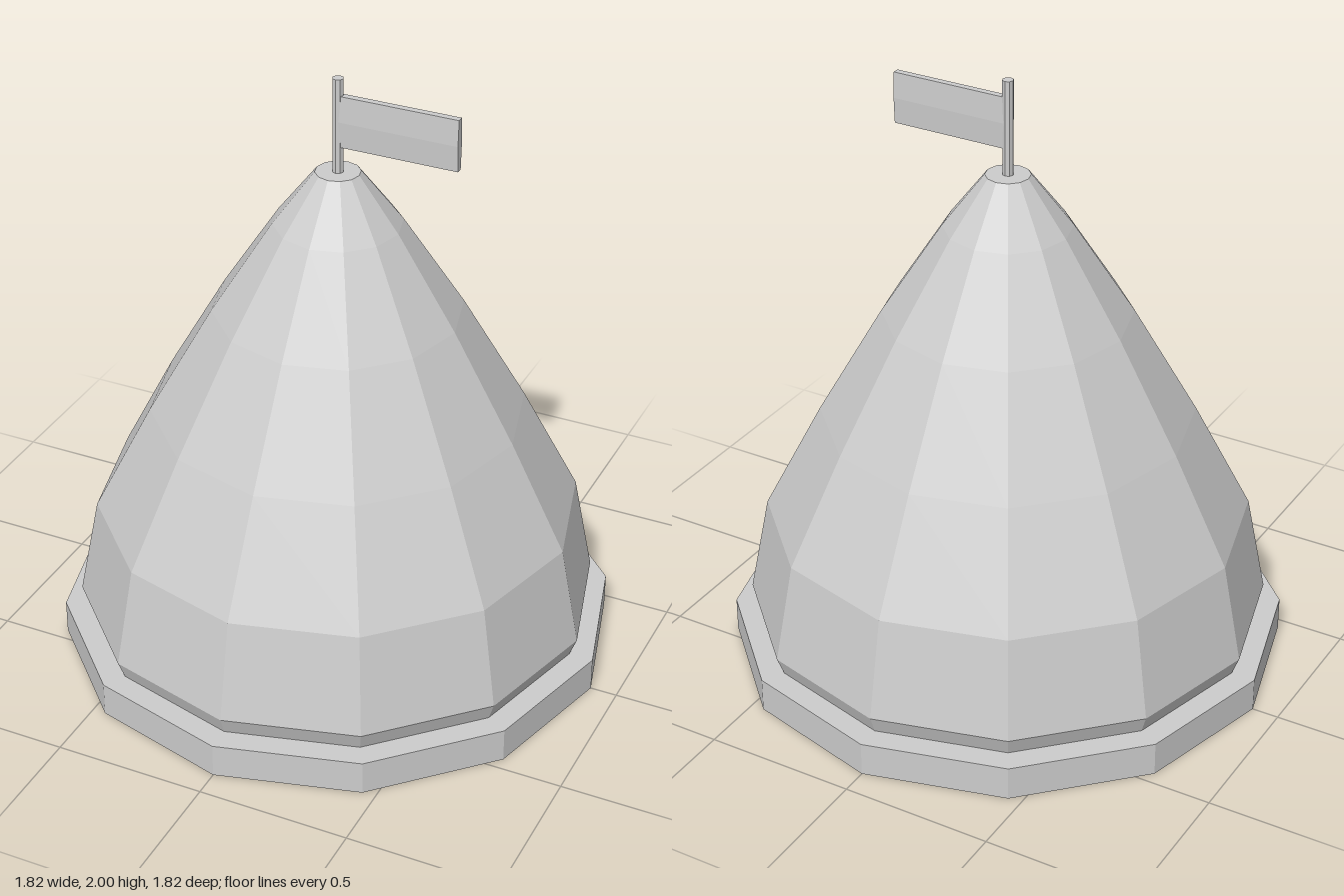
import * as THREE from 'three';

const SIDES = 12;

export function createModel() {
  const model = new THREE.Group();
  const grey = new THREE.MeshStandardMaterial({ color: 0xcccccc, flatShading: true });
  grey.name = 'light grey';

  const add = (name, geometry, x = 0, y = 0, z = 0) => {
    const mesh = new THREE.Mesh(geometry, grey);
    mesh.name = name;
    mesh.position.set(x, y, z);
    model.add(mesh);
  };
  // Faceted solid of revolution from [radius, height] pairs, bottom to top
  const revolve = (profile, sides) =>
    new THREE.LatheGeometry(profile.map(([r, y]) => new THREE.Vector2(r, y)), sides);

  // Twelve-sided plinth
  add('base', new THREE.CylinderGeometry(0.912, 0.912, 0.114, SIDES), 0, 0.057, 0);

  // Curved tent roof with a tucked-in foot and a flat crown
  add('roof', revolve([
    [0.832, 0.114], [0.855, 0.175], [0.79, 0.505], [0.605, 0.86],
    [0.4, 1.215], [0.205, 1.515], [0.072, 1.688], [0, 1.688],
  ], SIDES));

  // Flagpole
  add('flagPole', new THREE.CylinderGeometry(0.018, 0.018, 0.32, 8), 0, 1.84, 0);

  // Flag with a slight ridge along its middle
  const section = new THREE.Shape([
    [-0.011, -0.085], [0.011, -0.085], [0.015, 0], [0.011, 0.085], [-0.011, 0.085], [-0.015, 0],
  ].map(([x, y]) => new THREE.Vector2(x, y)));
  const flag = new THREE.ExtrudeGeometry(section, { depth: 0.4, bevelEnabled: false });
  flag.rotateY(Math.PI / 2);
  add('flag', flag, 0, 1.86, 0);

  return model;
}
